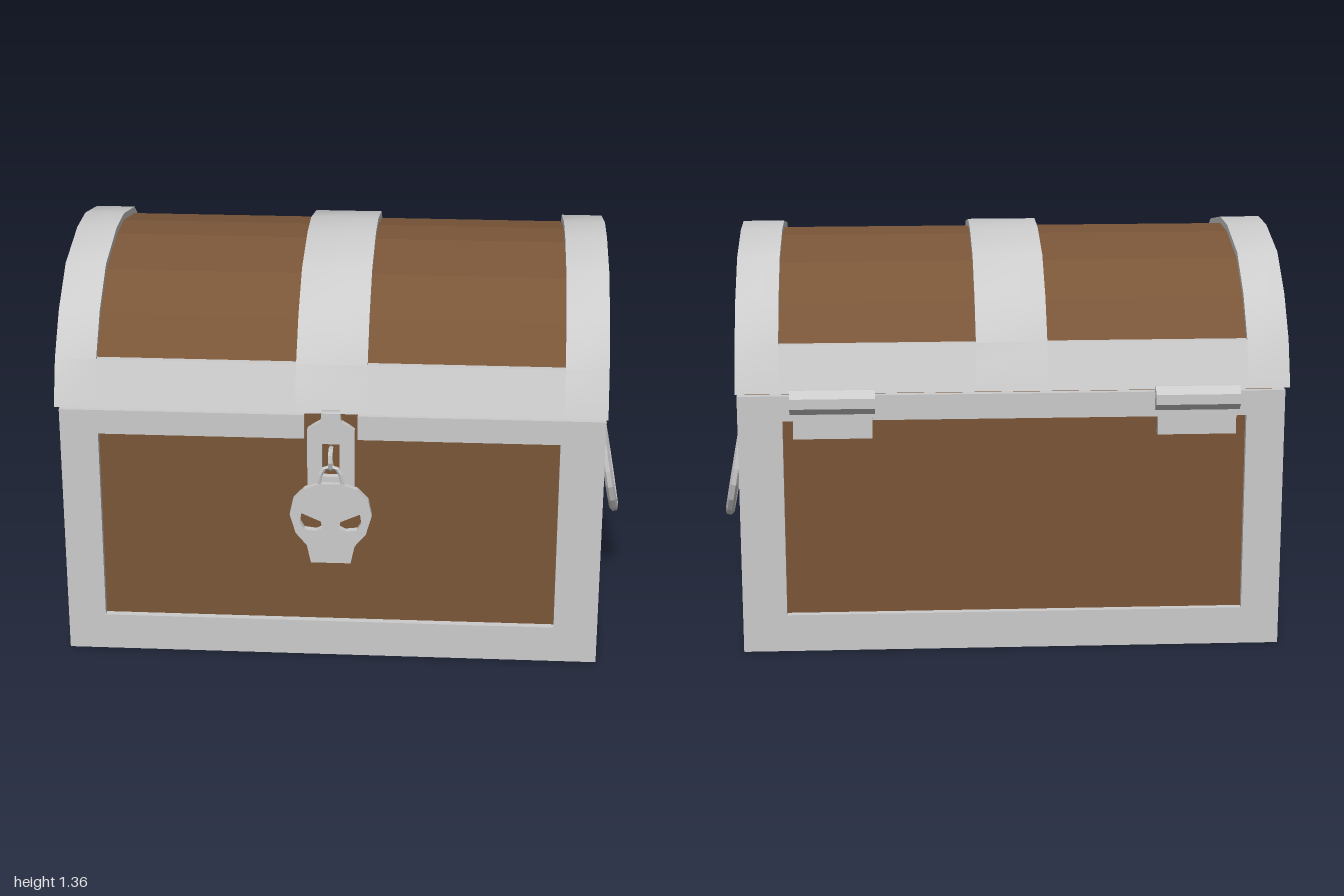
import * as THREE from 'three';
import { toCreasedNormals } from 'three/addons/utils/BufferGeometryUtils.js';

const metal = new THREE.MeshStandardMaterial({ color: 0xcccccc });
const steel = new THREE.MeshStandardMaterial({ color: 0xcccccc, flatShading: true });
const wood = new THREE.MeshStandardMaterial({ color: 0x7a5638, flatShading: true });

const CX = -0.01; // the chest body sits slightly off centre

function add(parent, name, geometry, material) {
  const mesh = new THREE.Mesh(geometry, material);
  mesh.name = name;
  parent.add(mesh);
  return mesh;
}

// Box given by its minimum and maximum corners
function box(parent, name, [x0, y0, z0], [x1, y1, z1], material = steel) {
  const g = new THREE.BoxGeometry(x1 - x0, y1 - y0, z1 - z0);
  g.translate((x0 + x1) / 2, (y0 + y1) / 2, (z0 + z1) / 2);
  return add(parent, name, g, material);
}

const toShape = (pts) => new THREE.Shape(pts.map(([a, b]) => new THREE.Vector2(a, b)));
const toPath = (pts) => new THREE.Path(pts.map(([a, b]) => new THREE.Vector2(a, b)));
const mirrored = (half) => [...half, ...half.map(([a, b]) => [-a, b]).reverse()];

function extrude(outline, holes, depth) {
  const shape = toShape(outline);
  holes.forEach((h) => shape.holes.push(toPath(h)));
  return new THREE.ExtrudeGeometry(shape, { depth, bevelEnabled: false });
}

// Extrude a (-z, y) outline along x from x0 to x1
const alongX = (outline, holes, x0, x1) =>
  extrude(outline, holes, x1 - x0).rotateY(Math.PI / 2).translate(x0, 0, 0);

// Extrude a (x, -z) outline upwards from y0 to y1
const upwards = (outline, holes, y0, y1) =>
  extrude(outline, holes, y1 - y0).rotateX(-Math.PI / 2).translate(0, y0, 0);

function makeBase() {
  const base = new THREE.Group();
  base.name = 'base';
  box(base, 'bodyPanels', [-0.905, 0.02, -0.63], [0.885, 0.908, 0.63], wood);

  // Bottom and top rims; the top one is notched for the hasp
  const hole = [[-0.8, -0.57], [0.76, -0.57], [0.76, 0.57], [-0.8, 0.57]];
  const rim = [[0.91, -0.655], [0.91, 0.655], [-0.93, 0.655], [-0.93, -0.655]];
  const notch = [[-0.1, -0.655], [-0.1, -0.62], [0.08, -0.62], [0.08, -0.655]];
  add(base, 'bottomRim', upwards(rim, [hole], 0, 0.13), steel);
  add(base, 'topRim', upwards([...rim, ...notch], [hole], 0.817, 0.903), steel);

  // Corner posts
  for (const [x0, x1] of [[-0.93, -0.8], [0.76, 0.91]])
    for (const [z0, z1] of [[-0.655, -0.57], [0.57, 0.655]])
      box(base, 'cornerPost', [x0, 0.13, z0], [x1, 0.817, z1]);
  return base;
}

function makeLid() {
  const lid = new THREE.Group();
  lid.name = 'lid';
  const outer = mirrored([[0.66, 0.912], [0.6, 1.065], [0.49, 1.2], [0.33, 1.312], [0.085, 1.363]]);
  const inner = mirrored([[0.545, 0.99], [0.525, 1.06], [0.42, 1.2], [0.26, 1.302], [0.065, 1.337]]);
  const planks = mirrored([[0.63, 0.915], [0.58, 1.06], [0.475, 1.185], [0.32, 1.29], [0.08, 1.34]]);

  add(lid, 'lidPlanks', alongX(planks, [], -0.915, 0.885), wood);

  // Arched bands: framed ends and a full strap in the middle
  const band = (name, x0, x1, holes) =>
    add(lid, name, toCreasedNormals(alongX(outer, holes, x0, x1), 0.6), metal);
  band('endBand', -0.945, -0.805, [inner]);
  band('endBand', 0.77, 0.915, [inner]);
  band('middleBand', -0.13, 0.11, []);

  // Sloping rails along the front and back
  for (const s of [-1, 1]) {
    const rail = [[0.66, 0.912], [0.6, 1.065], [0.57, 1.065], [0.6, 0.912]].map(([a, b]) => [a * s, b]);
    add(lid, 'lidRail', alongX(rail, [], -0.945, 0.915), steel);
  }
  return lid;
}

// Side handle: bracket and a hanging bail, built for the +x side
function makeHandle() {
  const handle = new THREE.Group();
  handle.name = 'handle';
  box(handle, 'handleBracket', [0.87, 0.655, -0.215], [0.917, 0.745, 0.215]);
  const pts = mirrored([[0.128, 0.69], [0.168, 0.545], [0.165, 0.425], [0.095, 0.332]]);
  pts.splice(4, 0, [0, 0.302]);
  const path = new THREE.CurvePath();
  const v = pts.map(([z, y]) => new THREE.Vector3(0.918 + (0.69 - y) * 0.185, y, z));
  for (let i = 1; i < v.length; i++) path.add(new THREE.LineCurve3(v[i - 1], v[i]));
  add(handle, 'handleBail', new THREE.TubeGeometry(path, 16, 0.016, 6), steel);
  for (const p of [v[0], v[v.length - 1]])
    add(handle, 'handlePivot', new THREE.SphereGeometry(0.016, 6, 4).translate(p.x, p.y, p.z), steel);
  return handle;
}

// Hinge at the back: octagonal barrel and a leaf below it
function makeHinge(x0, x1) {
  const hinge = new THREE.Group();
  hinge.name = 'hinge';
  const barrel = new THREE.CylinderGeometry(0.045, 0.045, x1 - x0, 8);
  barrel.rotateY(Math.PI / 8).rotateZ(Math.PI / 2).translate((x0 + x1) / 2, 0.883, -0.649);
  add(hinge, 'hingeBarrel', barrel, steel);
  box(hinge, 'hingeLeaf', [x0 + 0.01, 0.755, -0.66], [x1 - 0.01, 0.88, -0.62]);
  return hinge;
}

function makeLock() {
  const lock = new THREE.Group();
  lock.name = 'lock';

  // Slotted hasp
  const hasp = [[-0.08, 0.62], [0.08, 0.62], [0.08, 0.85], [0.06, 0.865], [0.035, 0.88], [0.03, 0.925],
    [-0.03, 0.925], [-0.035, 0.88], [-0.06, 0.865], [-0.08, 0.85]];
  const slot = [[-0.03, 0.68], [-0.03, 0.8], [0.03, 0.8], [0.03, 0.68]];
  add(lock, 'hasp', extrude(hasp, [slot], 0.025).translate(0, 0, 0.632), steel);

  // Staple through the slot
  const staple = new THREE.TorusGeometry(0.037, 0.008, 5, 10);
  add(lock, 'staple', staple.rotateY(Math.PI / 2).translate(0, 0.745, 0.652), steel);

  // Padlock with a skull shaped body and pierced eyes
  const skull = mirrored([[0.068, 0.365], [0.082, 0.43], [0.12, 0.475], [0.14, 0.545], [0.128, 0.6], [0.09, 0.64], [0.04, 0.66]]);
  const eye = [[0.1, 0.55], [0.033, 0.52], [0.03, 0.495], [0.05, 0.485], [0.09, 0.49], [0.105, 0.515]];
  const eyes = [eye, eye.map(([a, b]) => [-a, b])];
  add(lock, 'padlockBody', extrude(skull, eyes, 0.025).translate(0, 0, 0.65), steel);
  const shackle = new THREE.CatmullRomCurve3([[-0.04, 0.645], [-0.035, 0.69], [-0.018, 0.718], [0.018, 0.718], [0.035, 0.69], [0.04, 0.645]]
    .map(([x, y]) => new THREE.Vector3(x, y, 0.667)));
  add(lock, 'shackle', new THREE.TubeGeometry(shackle, 8, 0.008, 5), steel);
  lock.position.x = CX;
  return lock;
}

export function createModel() {
  const chest = new THREE.Group();
  chest.name = 'treasureChest';
  chest.add(makeBase(), makeLid(), makeLock());
  chest.add(makeHinge(-0.775, -0.49), makeHinge(0.45, 0.735));

  // A handle on each side, the second turned half around
  const left = makeHandle();
  const right = makeHandle();
  right.rotation.y = Math.PI;
  right.position.x = -0.01;
  chest.add(left, right);
  return chest;
}
